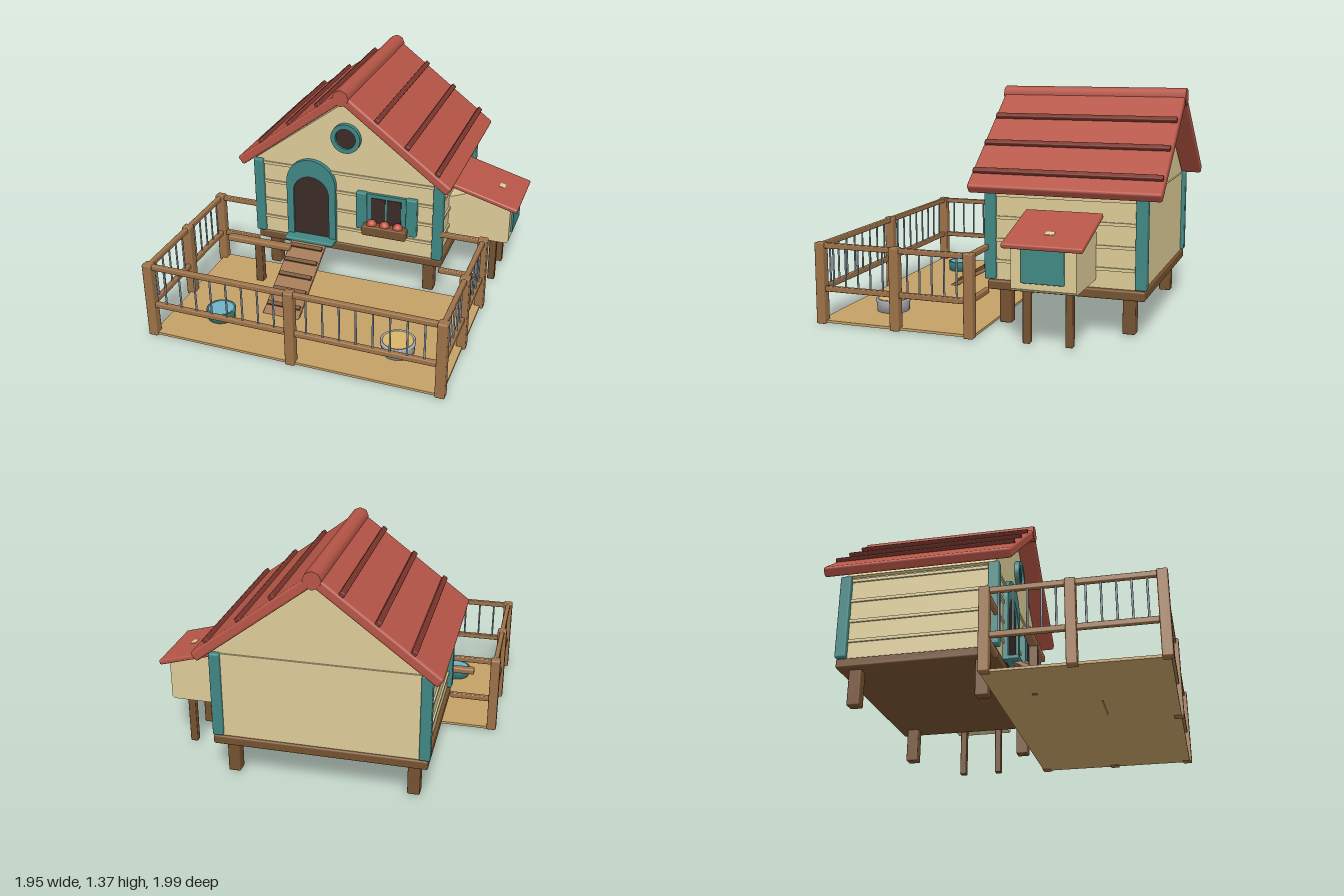
import * as THREE from 'three';
import { RoundedBoxGeometry } from 'three/addons/geometries/RoundedBoxGeometry.js';

const mat = (color, opts = {}) => new THREE.MeshStandardMaterial({ color, ...opts });
const WALL = mat(0xdccb97), ROOF = mat(0xb55546), BATTEN = mat(0x7a352c), TEAL = mat(0x3f8783);
const WOOD = mat(0x9c7148), DARKWOOD = mat(0x74512f), DARK = mat(0x3a2a27), GROUND = mat(0xc3a066);
const STEEL = mat(0x8795a0), BOWL = mat(0xb0b3b5), WATER = mat(0x6fb3c8), GRAIN = mat(0xd9b468);
const FLOWER = mat(0xc0503f);
const CX = -0.065; // centre line of the house

export function createModel() {
  const root = new THREE.Group();
  root.name = 'coop';

  const add = (name, geo, material, parent = root) => {
    const m = new THREE.Mesh(geo, material);
    m.name = name;
    parent.add(m);
    return m;
  };
  // Box from its extents, with optional rounded edges
  const box = (name, [x0, x1], [y0, y1], [z0, z1], material, r = 0, parent = root) => {
    const s = [x1 - x0, y1 - y0, z1 - z0];
    const m = add(name, r ? new RoundedBoxGeometry(...s, 2, r) : new THREE.BoxGeometry(...s), material, parent);
    m.position.set((x0 + x1) / 2, (y0 + y1) / 2, (z0 + z1) / 2);
    return m;
  };
  // Shape in x/y pushed from z0 to z1
  const extrude = (name, shape, z0, z1, material, parent = root) => {
    const g = new THREE.ExtrudeGeometry(shape, { depth: z1 - z0, bevelEnabled: false, curveSegments: 24 });
    g.translate(0, 0, z0);
    return add(name, g, material, parent);
  };
  const polygon = pts => new THREE.Shape(pts.map(p => new THREE.Vector2(...p)));
  const arch = (cx, y0, yc, r, Type = THREE.Shape) => {
    const s = new Type();
    s.moveTo(cx - r, y0);
    s.lineTo(cx + r, y0);
    s.lineTo(cx + r, yc);
    s.absarc(cx, yc, r, 0, Math.PI, false);
    s.lineTo(cx - r, y0);
    return s;
  };

  // House body, gable, floor and legs
  box('houseBody', [-0.66, 0.53], [0.27, 0.79], [-0.88, 0.02], WALL);
  extrude('gable', polygon([[CX - 0.625, 0.79], [CX + 0.625, 0.79], [CX, 1.257]]), -0.87, 0.02, WALL);
  box('floorFrame', [-0.68, 0.56], [0.22, 0.275], [-0.895, 0.03], DARKWOOD, 0.01);
  for (const x of [-0.595, 0.465]) for (const z of [-0.06, -0.795])
    box('houseLeg', [x - 0.036, x + 0.036], [0.01, 0.23], [z - 0.037, z + 0.037], DARKWOOD, 0.008);
  for (const x of [-0.66, 0.53]) for (const z of [0.015, -0.87])
    box('cornerPost', [x - 0.031, x + 0.031], [0.28, 0.795], [z - 0.033, z + 0.033], TEAL, 0.01);

  // Siding battens on the front and both sides
  for (const y of [0.385, 0.51, 0.64, 0.77]) {
    box('frontSiding', [-0.64, 0.51], [y - 0.009, y + 0.009], [0.015, 0.03], WALL);
    for (const x of [-0.66, 0.53])
      box('sideSiding', [x - 0.011, x + 0.011], [y - 0.009, y + 0.009], [-0.85, 0], WALL);
  }

  // Roof slabs, battens and ridge
  const pitch = Math.atan(0.755);
  for (const side of [-1, 1]) {
    const slope = new THREE.Group();
    slope.name = side < 0 ? 'rightRoofSlope' : 'leftRoofSlope';
    slope.position.set(CX, 1.316, -0.43);
    slope.rotation.z = -side * pitch;
    root.add(slope);
    const x = [0, side * 0.85].sort((a, b) => a - b);
    box('roofSlab', x, [-0.03, 0.03], [-0.56, 0.56], ROOF, 0.015, slope);
    for (const d of side < 0 ? [0.115, 0.305, 0.495] : [0.185, 0.375, 0.565]) {
      const b = side * (d / Math.cos(pitch) + 0.02);
      box('roofBatten', [b - 0.016, b + 0.016], [0.02, 0.052], [-0.55, 0.55], BATTEN, 0.006, slope);
    }
  }
  const ridge = add('ridgeCap', new THREE.CylinderGeometry(0.052, 0.052, 1.13, 8), ROOF);
  ridge.rotation.x = Math.PI / 2;
  ridge.position.set(CX, 1.315, -0.43);

  // Arched door and sill
  const frame = arch(-0.3, 0.28, 0.675, 0.165);
  frame.holes.push(arch(-0.3, 0.285, 0.605, 0.12, THREE.Path));
  extrude('doorFrame', frame, 0.015, 0.05, TEAL);
  extrude('doorway', arch(-0.3, 0.28, 0.605, 0.122), 0.015, 0.035, DARK);
  box('doorSill', [-0.465, -0.135], [0.28, 0.305], [0.02, 0.115], TEAL, 0.008);

  // Round gable window
  const ring = new THREE.Shape().absarc(CX, 1.02, 0.095, 0, Math.PI * 2);
  ring.holes.push(new THREE.Path().absarc(CX, 1.02, 0.066, 0, Math.PI * 2));
  extrude('roundWindowFrame', ring, 0.015, 0.05, TEAL);
  extrude('roundWindowPane', new THREE.Shape().absarc(CX, 1.02, 0.068, 0, Math.PI * 2), 0.015, 0.034, DARK);

  // Front window with shutters and flower box
  box('windowFrame', [0.07, 0.335], [0.44, 0.67], [0.015, 0.04], TEAL);
  for (const x of [0.148, 0.252])
    box('windowPane', [x - 0.046, x + 0.046], [0.475, 0.645], [0.03, 0.045], DARK);
  for (const x of [0.04, 0.365])
    box('shutter', [x - 0.035, x + 0.035], [0.42, 0.675], [0.015, 0.055], TEAL, 0.008);
  box('flowerBox', [0.06, 0.345], [0.41, 0.475], [0.02, 0.11], DARKWOOD, 0.008);
  for (const x of [0.115, 0.2, 0.285])
    add('flower', new THREE.SphereGeometry(0.032, 14, 10), FLOWER).position.set(x, 0.475, 0.07);

  // Nest box on the left side
  extrude('nestBox', polygon([[0.53, 0.33], [0.54, 0.32], [0.91, 0.32], [0.925, 0.335], [0.925, 0.56],
    [0.7, 0.622], [0.64, 0.63], [0.58, 0.605], [0.53, 0.59]]), -0.61, -0.245, WALL);
  const lid = add('nestLid', new RoundedBoxGeometry(0.44, 0.03, 0.45, 2, 0.01), ROOF);
  lid.position.set(0.762, 0.63, -0.43);
  lid.rotation.z = -0.275;
  const catchPlate = add('lidCatch', new THREE.BoxGeometry(0.035, 0.034, 0.05), WALL);
  catchPlate.position.set(0.828, 0.612, -0.435);
  catchPlate.rotation.z = -0.275;
  box('nestDoor', [0.915, 0.938], [0.37, 0.56], [-0.545, -0.305], TEAL, 0.006);
  for (const z of [-0.305, -0.548])
    box('nestLeg', [0.8, 0.845], [0.01, 0.33], [z - 0.021, z + 0.021], DARKWOOD, 0.006);

  // Run: ground board, posts, rails and balusters
  const X0 = -0.95, X1 = 0.82, Z0 = 0.035, Z1 = 0.965, ZM = 0.49;
  box('runFloor', [X0, X1 + 0.01], [0.005, 0.02], [0.01, 0.98], GROUND);
  for (const [x, z] of [[X0, Z0], [X0, ZM], [X0, Z1], [CX, Z1], [X1, Z1], [X1, ZM], [X1, Z0]])
    box('fencePost', [x - 0.029, x + 0.029], [0, 0.486], [z - 0.029, z + 0.029], WOOD, 0.008);

  const fence = (a, b, count) => {
    const alongX = a[1] === b[1];
    for (const y of [0.467, 0.21]) {
      const t = 0.015;
      box('fenceRail', alongX ? [a[0], b[0]] : [a[0] - t, a[0] + t], [y - 0.016, y + 0.016],
        alongX ? [a[1] - t, a[1] + t] : [a[1], b[1]], WOOD, 0.006);
    }
    for (let i = 1; i <= count; i++) {
      const k = i / (count + 1);
      add('baluster', new THREE.CylinderGeometry(0.006, 0.006, 0.25, 8), STEEL)
        .position.set(a[0] + (b[0] - a[0]) * k, 0.338, a[1] + (b[1] - a[1]) * k);
    }
  };
  fence([X0, Z1], [CX, Z1], 8);
  fence([CX, Z1], [X1, Z1], 8);
  for (const x of [X0, X1]) {
    fence([x, Z0], [x, ZM], 5);
    fence([x, ZM], [x, Z1], 5);
  }
  fence([X0, Z0], [-0.68, Z0], 0);
  fence([0.55, Z0], [X1, Z0], 0);

  // Ramp with treads
  const ramp = new THREE.Group();
  ramp.name = 'ramp';
  ramp.position.set(-0.3, 0.152, 0.325);
  ramp.rotation.x = Math.atan2(0.27, 0.49);
  root.add(ramp);
  box('rampBoard', [-0.118, 0.118], [-0.013, 0.013], [-0.29, 0.29], WOOD, 0.006, ramp);
  for (let i = 0; i < 5; i++) {
    const z = -0.215 + i * 0.108;
    box('rampTread', [-0.108, 0.108], [0.01, 0.028], [z - 0.013, z + 0.013], DARKWOOD, 0, ramp);
  }

  // Perch
  box('perchPost', [-0.615, -0.565], [0.005, 0.3], [0.2, 0.25], DARKWOOD, 0.006);
  box('perchBar', [-0.805, -0.375], [0.277, 0.315], [0.2, 0.25], WOOD, 0.01);

  // Water and feed bowls
  const bowl = (name, x, z, r, h, shell, fill) => {
    const g = new THREE.Group();
    g.name = name;
    g.position.set(x, 0.015, z);
    root.add(g);
    const pts = [[0, 0], [r * 0.93, 0], [r * 0.96, h * 0.7], [r, h * 0.76], [r, h * 0.96],
      [r * 0.96, h], [r * 0.88, h], [r * 0.86, h * 0.8], [0, h * 0.8]];
    add('bowlShell', new THREE.LatheGeometry(pts.map(p => new THREE.Vector2(...p)), 32), shell, g);
    add('bowlFill', new THREE.CylinderGeometry(r * 0.87, r * 0.87, h * 0.12, 32), fill, g).position.y = h * 0.88;
  };
  bowl('waterBowl', -0.64, 0.7, 0.09, 0.07, TEAL, WATER);
  bowl('feedBowl', 0.485, 0.675, 0.105, 0.082, BOWL, GRAIN);

  return root;
}
